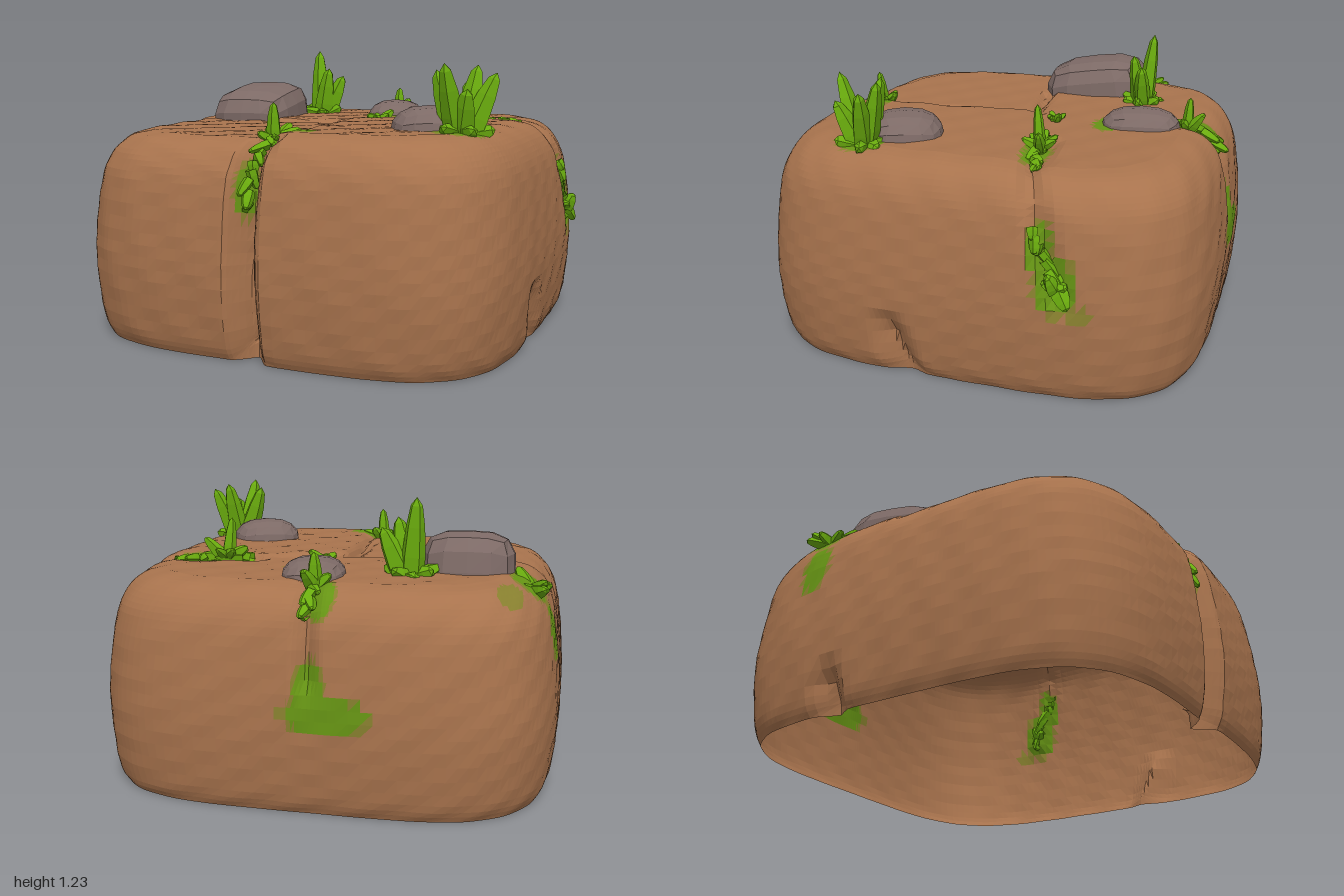
import * as THREE from 'three';

const mat = (name, color, side = THREE.FrontSide) =>
  Object.assign(new THREE.MeshStandardMaterial({ color, flatShading: true, side }), { name });

let seed = 7;
const rand = () => (seed = (seed * 16807) % 2147483647) / 2147483647;
const jitter = (a) => (rand() - 0.5) * 2 * a;
const V = (a) => new THREE.Vector3(...a);
const step = THREE.MathUtils.smoothstep;

// Cracks cut into the block: path, half width, depth
const CRACKS = [
  { path: [[-0.03, 0.91, -0.07], [-0.02, 0.91, 0.15], [0.01, 0.91, 0.6], [-0.03, 0.9, 0.82]], w: 0.05, depth: 0.04 },
  { path: [[-0.03, 0.9, 0.82], [-0.05, 0.82, 0.93], [-0.06, 0.5, 0.99], [-0.045, 0, 0.96]], w: 0.09, depth: 0.15 },
  { path: [[-0.03, 0.91, -0.06], [-0.4, 0.91, -0.01]], w: 0.05, depth: 0.035 },
  { path: [[-0.02, 0.91, -0.65], [-0.03, 0.85, -0.93], [-0.04, 0.55, -0.99]], w: 0.07, depth: 0.05 },
  { path: [[0.4, 0.92, -0.25], [0.8, 0.91, -0.3], [0.93, 0.82, -0.34], [0.97, 0.45, -0.46]], w: 0.08, depth: 0.05 },
  { path: [[0.97, 0.2, 0.27], [0.95, 0, 0.2]], w: 0.11, depth: 0.06 },
  { path: [[-1, 0.12, -0.3], [-0.97, 0, -0.28]], w: 0.1, depth: 0.07 },
].map((c) => ({ ...c, path: c.path.map(V) }));

// Moss stains on the block: centre, radii, faded or not
const STAINS = [
  [[-0.12, 0.42, -0.99], [0.17, 0.07, 0.12]], [[-0.05, 0.53, -0.99], [0.06, 0.1, 0.12]],
  [[-0.07, 0.88, -0.88], [0.06, 0.1, 0.13]], [[0.08, 0.91, -0.43], [0.1, 0.1, 0.06]],
  [[-0.98, 0.68, -0.42], [0.1, 0.12, 0.07]], [[-0.88, 0.88, -0.42], [0.1, 0.08, 0.12]],
  [[0.97, 0.5, -0.44], [0.1, 0.12, 0.08]], [[0.95, 0.66, -0.37], [0.08, 0.1, 0.05]],
  [[0.06, 0.91, 0.69], [0.08, 0.08, 0.05]], [[0.55, 0.92, -0.25], [0.17, 0.06, 0.05]],
  [[0.68, 0.92, 0.48], [0.1, 0.06, 0.1]], [[-0.06, 0.72, 0.93], [0.05, 0.14, 0.12]],
  [[-0.8, 0.9, -0.69], [0.05, 0.08, 0.1], true], [[0.97, 0.39, -0.54], [0.1, 0.03, 0.04], true],
].map(([c, r, faded]) => ({ centre: V(c), radii: V(r), faded }));

// 0 bare earth, 1 moss, 2 faded moss
function stainAt(p) {
  let kind = 0;
  for (const { centre, radii, faded } of STAINS) {
    const d = p.clone().sub(centre).divide(radii).length();
    if (d < 1 && !faded) return 1;
    if (d < 1.15) kind = 2;
  }
  return kind;
}

function crackCut(p) {
  let cut = 0;
  const near = new THREE.Vector3(), line = new THREE.Line3();
  for (const { path, w, depth } of CRACKS)
    for (let i = 0; i + 1 < path.length; i++) {
      line.set(path[i], path[i + 1]).closestPointToPoint(p, true, near);
      cut = Math.max(cut, depth * Math.max(0, 1 - near.distanceTo(p) / w) ** 1.5);
    }
  return cut;
}

// Place a point (u, v) of the unit square on the block: ring scale k, height y, slope (out, up)
function place(u, v, k, y, out, up) {
  const e = 4.2, m = Math.max(Math.abs(u), Math.abs(v));
  const s = m && (k * m) / (Math.abs(u) ** e + Math.abs(v) ** e) ** (1 / e);
  const p = new THREE.Vector3(u * s * 0.985 - 0.015, y, v * s * 0.99);
  const cut = crackCut(p) + 0.003 * Math.sin(p.x * 23 + p.y * 31) * Math.sin(p.z * 27 - p.y * 19);
  // The quarters of the top stand at slightly different heights
  const edge = Math.max(-0.06 - 0.45 * p.x, -0.25 - 0.26 * (p.x - 0.4));
  const raised = step(p.x, -0.04, 0) * step(p.z, edge - 0.03, edge + 0.03);
  const sunk = step(-p.x, 0, 0.04) * step(p.z, -0.07, -0.03);
  if (y > 0) p.y += step(y, 0.6, 0.9) * (raised * 0.016 - sunk * 0.012 - 0.004);
  // The front left bulge (-x) sits a little further back
  p.z -= 0.018 * step(-p.x, 0.06, 0.12) * step(p.z, 0.6, 0.9);
  const r = Math.hypot(u, v) || 1;
  return p.addScaledVector(new THREE.Vector3((-u / r) * out, y > 0 ? -up : 0, (-v / r) * out), cut);
}

// Hollow earth block: rings up the side, closed by a grid on top
function earthBlock(materials) {
  const profile = [[0.95, 0], [0.98, 0.08], [1, 0.3], [0.993, 0.5], [0.963, 0.72], [0.92, 0.825], [0.855, 0.888], [0.77, 0.912]];
  const rings = new THREE.SplineCurve(profile.map((p) => new THREE.Vector2(...p))).getPoints(28);

  // Grid lines are packed closer along the front crack and the side notch
  const us = [], vs = [];
  for (let i = 0; i <= 40; i++) us.push(i / 20 - 1);
  for (let i = 0; i < 12; i++) us.push(-0.132 + i * 0.0165);
  for (let i = 0; i <= 48; i++) vs.push(i / 24 - 1);
  for (let i = 0; i < 6; i++) vs.push((i + 3.5) / 24);
  us.sort((a, b) => a - b);
  vs.sort((a, b) => a - b);
  const back = (list) => [...list].reverse();
  const loop = [
    ...vs.slice(1).map((v) => [1, v]), ...back(us).slice(1).map((u) => [u, 1]),
    ...back(vs).slice(1).map((v) => [-1, v]), ...us.slice(1).map((u) => [u, -1]),
  ];

  const points = [], faces = [[], [], []], mid = new THREE.Vector3();
  const addFace = (...ids) => {
    mid.set(0, 0, 0);
    ids.forEach((i) => mid.addScaledVector(points[i], 1 / 3));
    faces[stainAt(mid)].push(...ids);
  };
  const last = rings.length - 1, n = loop.length;
  rings.forEach((ring, j) => {
    const lo = rings[Math.max(0, j - 1)], hi = rings[Math.min(last, j + 1)];
    const slope = j === last ? new THREE.Vector2(0, 1) : new THREE.Vector2(hi.y - lo.y, lo.x - hi.x).normalize();
    for (const [u, v] of loop) points.push(place(u, v, ring.x, ring.y, slope.x, slope.y));
  });
  for (let j = 0; j < last; j++)
    for (let i = 0; i < n; i++) {
      const a = j * n + i, b = j * n + ((i + 1) % n);
      addFace(a, a + n, b);
      addFace(b, a + n, b + n);
    }
  const start = points.length, w = us.length;
  for (const v of vs) for (const u of us) points.push(place(u, v, rings[last].x, rings[last].y, 0, 1));
  for (let j = 0; j + 1 < vs.length; j++)
    for (let i = 0; i + 1 < w; i++) {
      const a = start + j * w + i;
      addFace(a, a + w, a + 1);
      addFace(a + 1, a + w, a + w + 1);
    }

  const geo = new THREE.BufferGeometry().setFromPoints(points);
  geo.setIndex(faces.flat());
  let offset = 0;
  faces.forEach((list, i) => {
    geo.addGroup(offset, list.length, i);
    offset += list.length;
  });
  geo.computeVertexNormals();
  const mesh = new THREE.Mesh(geo, materials);
  mesh.name = 'earthBlock';
  return mesh;
}

// Faceted boulder: a gridded box pulled towards a ball, then tilted
function rock(material, centre, size, e, tilt, turn) {
  const geo = new THREE.BoxGeometry(2, 2, 2, 4, 4, 4);
  const pos = geo.attributes.position, p = new THREE.Vector3();
  for (let i = 0; i < pos.count; i++) {
    p.fromBufferAttribute(pos, i);
    const k = (Math.abs(p.x) ** e + Math.abs(p.y) ** e + Math.abs(p.z) ** e) ** (-1 / e);
    pos.setXYZ(i, p.x * k, p.y * k, p.z * k);
  }
  geo.scale(...size);
  geo.computeVertexNormals();
  const mesh = new THREE.Mesh(geo, material);
  mesh.position.set(...centre);
  mesh.rotation.set(tilt, turn, 0);
  mesh.name = 'rock';
  return mesh;
}

// Thick pointed leaf from base to tip
function leaf(material, base, tip, width) {
  const profile = [[1, 0], [1, 0.3], [0.8, 0.65], [0.5, 0.9], [0, 1]].map((p) => new THREE.Vector2(...p));
  const geo = new THREE.LatheGeometry(profile, 5);
  const b = V(base), d = V(tip).sub(b);
  const turn = new THREE.Quaternion().setFromUnitVectors(new THREE.Vector3(0, 1, 0), d.clone().normalize());
  geo.scale(width, d.length(), width * 0.8).applyQuaternion(turn).translate(b.x, b.y, b.z);
  geo.computeVertexNormals();
  const mesh = new THREE.Mesh(geo, material);
  mesh.name = 'leaf';
  return mesh;
}

// Tuft: tall leaves to the given tips and a skirt of short ones
function tuft(name, material, base, tips, width, skirt, spread) {
  const group = new THREE.Group();
  group.name = name;
  for (const tip of tips) {
    const foot = [base[0] + (tip[0] - base[0]) * 0.2, base[1], base[2] + (tip[2] - base[2]) * 0.2];
    group.add(leaf(material, foot, tip, width));
  }
  for (let i = 0; i < skirt; i++) {
    const a = (i / skirt) * Math.PI * 2 + jitter(0.3), r = spread * (0.8 + rand() * 0.35);
    const end = [base[0] + Math.cos(a) * r, base[1] + 0.02 + rand() * 0.04, base[2] + Math.sin(a) * r];
    group.add(leaf(material, base, end, width * 0.85));
  }
  return group;
}

// Creeper: overlapping leaves lying along a path
function creeper(name, material, path, count, size) {
  const group = new THREE.Group();
  group.name = name;
  const curve = new THREE.CatmullRomCurve3(path.map(V));
  for (let i = 0; i < count; i++) {
    const p = curve.getPoint(i / count), q = curve.getPoint(Math.min(1, (i + 1.8) / count));
    q.add(new THREE.Vector3(jitter(size), jitter(size * 0.5), jitter(size)));
    group.add(leaf(material, p.toArray(), q.toArray(), 0.028));
  }
  return group;
}

export function createModel() {
  const model = new THREE.Group();
  model.name = 'earthBlockWithPlants';
  const dirt = mat('dirt', 0xa8734d, THREE.DoubleSide);
  const moss = mat('moss', 0x669414, THREE.DoubleSide);
  const fadedMoss = mat('fadedMoss', 0x88802f, THREE.DoubleSide);
  const stone = mat('stone', 0x7d6a66);
  const grass = mat('grass', 0x6aac0e, THREE.DoubleSide);

  model.add(earthBlock([dirt, moss, fadedMoss]));

  model.add(
    rock(stone, [-0.585, 0.88, -0.23], [0.205, 0.18, 0.255], 3.4, 0.14, 0.06),
    rock(stone, [0.025, 0.88, -0.57], [0.14, 0.1, 0.18], 2.4, 0, 0.15),
    rock(stone, [0.52, 0.9, 0.36], [0.17, 0.12, 0.17], 2.4, 0, 0.4),
  );

  model.add(
    tuft('tallTuft', grass, [0.69, 0.9, 0.47],
      [[0.57, 1.17, 0.44], [0.65, 1.2, 0.59], [0.73, 1.19, 0.38], [0.82, 1.16, 0.42], [0.74, 1.1, 0.57]], 0.052, 6, 0.12),
    tuft('rockTuft', grass, [-0.37, 0.88, -0.5],
      [[-0.4, 1.23, -0.54], [-0.25, 1.1, -0.51], [-0.31, 1.14, -0.46]], 0.052, 7, 0.12),
    tuft('edgeTuft', grass, [-0.87, 0.84, -0.42],
      [[-0.8, 0.93, -0.35], [-0.93, 0.87, -0.53]], 0.036, 6, 0.1),
    tuft('crackTuft', grass, [0.52, 0.91, -0.25],
      [[0.5, 1.09, -0.23], [0.62, 1.0, -0.27], [0.42, 0.96, -0.25]], 0.032, 5, 0.08),
    tuft('backTuft', grass, [-0.03, 0.89, -0.77],
      [[-0.03, 1.03, -0.78], [0, 0.97, -0.85]], 0.032, 4, 0.07),
    tuft('frontTuft', grass, [-0.03, 0.88, 0.72],
      [[-0.02, 1.04, 0.74], [0.01, 0.95, 0.64], [0.07, 0.93, 0.67]], 0.032, 5, 0.08),
    tuft('smallTuft', grass, [0.08, 0.9, -0.19], [[0.14, 0.95, -0.22], [0.03, 0.93, -0.15]], 0.026, 3, 0.05),
    tuft('sideTuft', grass, [0.94, 0.49, -0.44], [[0.99, 0.56, -0.42], [0.98, 0.42, -0.5]], 0.036, 5, 0.05),
  );

  model.add(
    creeper('backCreeper', grass, [[-0.02, 0.89, -0.68], [-0.03, 0.88, -0.84], [-0.03, 0.78, -0.93]], 8, 0.04),
    creeper('frontCreeper', grass, [[-0.02, 0.89, 0.76], [-0.05, 0.8, 0.87], [-0.06, 0.6, 0.9]], 9, 0.05),
    creeper('topCreeper', grass, [[0.4, 0.91, -0.25], [0.6, 0.91, -0.25], [0.78, 0.89, -0.31]], 9, 0.05),
    creeper('sideCreeper', grass, [[0.92, 0.72, -0.34], [0.93, 0.6, -0.39], [0.95, 0.42, -0.48]], 8, 0.03),
  );
  return model;
}
